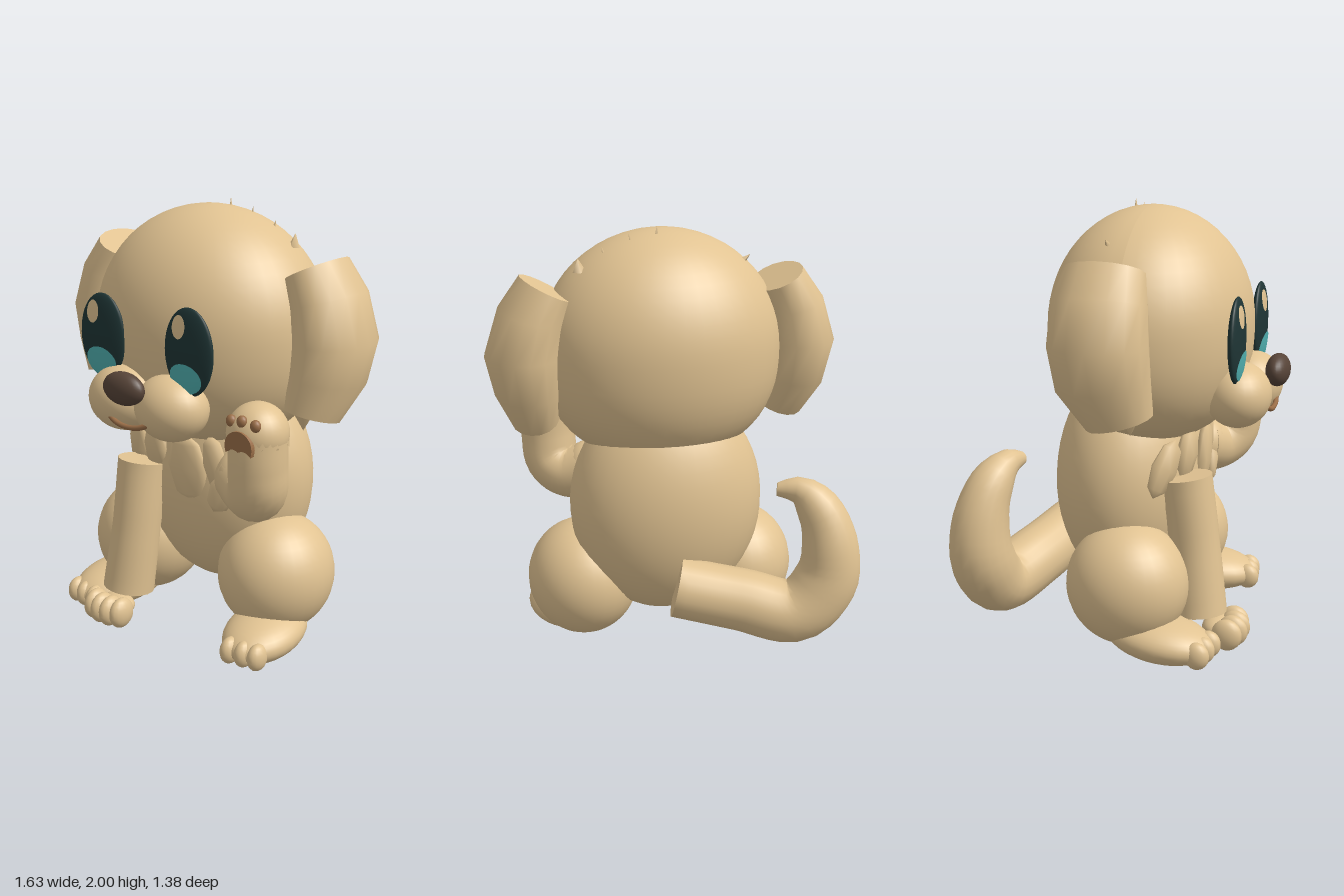
import * as THREE from 'three';
import { toCreasedNormals } from 'three/addons/utils/BufferGeometryUtils.js';

const V = (x, y, z) => new THREE.Vector3(x, y, z);
const mat = (name, color, side = THREE.FrontSide) => {
  const m = new THREE.MeshStandardMaterial({ color, side });
  m.name = name;
  return m;
};

// Skin over rings of [centre, axisA, axisB], closed flat at both ends
function loft(rings, n = 20) {
  const first = rings[0][0], last = rings[rings.length - 1][0], zero = V(0, 0, 0);
  const all = [[first, zero, zero], ...rings, [last, zero, zero]];
  const pos = [], idx = [];
  for (const [c, a, b] of all) {
    for (let j = 0; j < n; j++) {
      const t = (j / n) * Math.PI * 2;
      const p = c.clone().addScaledVector(a, Math.cos(t)).addScaledVector(b, Math.sin(t));
      pos.push(p.x, p.y, p.z);
    }
  }
  for (let i = 0; i < all.length - 1; i++) {
    for (let j = 0; j < n; j++) {
      const k = (j + 1) % n, p = i * n, q = p + n;
      if (i > 0) idx.push(p + j, p + k, q + k);
      if (i < all.length - 2) idx.push(p + j, q + k, q + j);
    }
  }
  const g = new THREE.BufferGeometry();
  g.setAttribute('position', new THREE.Float32BufferAttribute(pos, 3));
  g.setIndex(idx);
  return toCreasedNormals(g, 0.9);
}

// Round limb along a curve, radius given at evenly spaced stations
function limb(points, radii, steps = 20) {
  const curve = new THREE.CatmullRomCurve3(points);
  const f = curve.computeFrenetFrames(steps);
  const rings = [];
  for (let i = 0; i <= steps; i++) {
    const s = (i / steps) * (radii.length - 1);
    const k = Math.min(Math.floor(s), radii.length - 2);
    const r = THREE.MathUtils.lerp(radii[k], radii[k + 1], s - k);
    rings.push([curve.getPointAt(i / steps),
      f.normals[i].clone().multiplyScalar(r), f.binormals[i].clone().multiplyScalar(r)]);
  }
  return loft(rings);
}

// Unit sphere whose lower half is fuller than round
function jowlSphere() {
  const g = new THREE.SphereGeometry(1, 40, 28);
  const p = g.attributes.position;
  for (let i = 0; i < p.count; i++) {
    const y = -p.getY(i);
    if (y <= 0 || y > 0.9999) continue;
    const k = Math.pow(1 - Math.pow(y, 2.4), 1 / 2.4) / Math.sqrt(1 - y * y);
    p.setXYZ(i, p.getX(i) * k, -y, p.getZ(i) * k);
  }
  g.computeVertexNormals();
  return g;
}

export function createModel() {
  const root = new THREE.Group();
  root.name = 'sittingPuppy';
  const fur = mat('tanFur', 0xe1c392);
  const furOpen = mat('tanFurThin', 0xe1c392, THREE.DoubleSide);
  const dark = mat('darkEye', 0x1f3535);
  const teal = mat('tealIris', 0x50b0b0);
  const noseBrown = mat('noseBrown', 0x574438);
  const padBrown = mat('padBrown', 0x9a6e48);

  const add = (name, geo, m = fur) => {
    const mesh = new THREE.Mesh(geo, m);
    mesh.name = name;
    root.add(mesh);
    return mesh;
  };
  const ball = (name, c, r, m = fur, seg = 28) => {
    const mesh = add(name, new THREE.SphereGeometry(1, seg, Math.round(seg * 0.7)), m);
    mesh.position.set(...c);
    mesh.scale.set(...r);
    return mesh;
  };

  // Head and body
  const head = add('head', jowlSphere());
  head.position.set(0, 1.45, 0.05);
  head.scale.set(0.56, 0.53, 0.465);
  ball('body', [0, 0.72, -0.05], [0.455, 0.54, 0.34], fur, 36);

  // Face
  ball('nose', [0, 1.262, 0.637], [0.11, 0.073, 0.054], noseBrown);
  const smile = new THREE.CatmullRomCurve3([V(-0.115, 1.115, 0.608), V(-0.06, 1.094, 0.618),
    V(0, 1.086, 0.618), V(0.06, 1.094, 0.618), V(0.115, 1.115, 0.608)]);
  add('mouth', new THREE.TubeGeometry(smile, 24, 0.012, 8), padBrown);

  // Thin patch laid over the eyeball at offset (dx, dy)
  const E = { y: 1.43, z: 0.5, rx: 0.13, ry: 0.19, rz: 0.03 };
  const eyePatch = (name, ex, dx, dy, rx, ry, m) => {
    const g = new THREE.RingGeometry(0.001, 1, 28, 5);
    const p = g.attributes.position;
    for (let i = 0; i < p.count; i++) {
      const x = dx + p.getX(i) * rx, y = dy + p.getY(i) * ry;
      const d = Math.max(0, 1 - (x / E.rx) ** 2 - (y / E.ry) ** 2);
      p.setXYZ(i, ex + x, E.y + y, E.z + E.rz * Math.sqrt(d) + 0.005);
    }
    g.computeVertexNormals();
    add(name, g, m);
  };

  for (const s of [-1, 1]) {
    ball('muzzle', [s * 0.135, 1.168, 0.485], [0.172, 0.147, 0.15]);
    ball('eye', [s * 0.245, E.y, E.z], [E.rx, E.ry, E.rz], dark, 32);
    eyePatch('iris', s * 0.245, -s * 0.004, -0.11, 0.086, 0.066, teal);
    eyePatch('eyeHighlight', s * 0.245, -0.035, 0.108, 0.037, 0.05, fur);

    // Ear pressed to the head, bowed outward: centre, outward axis, depth axis
    const ear = [
      [[0.535, 1.745, 0], [0.11, 0.055, 0], [0, 0, 0.18]],
      [[0.6, 1.62, 0], [0.147, 0.04, 0], [0, 0, 0.207]],
      [[0.64, 1.45, 0.005], [0.174, 0, 0], [0, 0, 0.217]],
      [[0.62, 1.28, 0.02], [0.152, -0.015, 0], [0, 0.02, 0.205]],
      [[0.585, 1.125, 0.08], [0.11, -0.018, 0], [0, 0.035, 0.145]],
    ].map(([c, a, b]) => [V(s * c[0], c[1], c[2]), V(s * a[0], a[1], a[2]),
      V(...b).multiplyScalar(s)]);
    add('ear', loft(ear, 16));
    const tip = add('earTuft', new THREE.ConeGeometry(0.045, 0.08, 5));
    tip.position.set(s * 0.565, 1.1, 0.12);
    tip.rotation.x = Math.PI;

    // Haunch, hind foot and toes
    ball('haunch', [s * 0.383, 0.325, 0.05], [0.265, 0.28, 0.28], fur, 32);
    const foot = ball('hindFoot', [s * 0.445, 0.108, 0.215], [0.175, 0.1, 0.255]);
    foot.rotation.set(0.08, s * 0.16, 0);
    for (const x of [0.415, 0.485, 0.55])
      ball('hindToe', [s * x, 0.088, 0.435 - (x - 0.41) * 0.15], [0.04, 0.062, 0.057], fur, 16);
  }

  // Standing front leg with toes
  add('frontLeg', limb([V(-0.228, 0.8, 0.275), V(-0.235, 0.5, 0.32), V(-0.262, 0.17, 0.358)],
    [0.119, 0.114, 0.122], 10));
  ball('frontPaw', [-0.26, 0.11, 0.44], [0.09, 0.05, 0.07]);
  for (let i = 0; i < 4; i++)
    ball('frontToe', [-0.343 + i * 0.054, 0.108, i % 3 ? 0.515 : 0.5], [0.042, 0.073, 0.07], fur, 16);

  // Raised arm with paw and jagged fur cuff
  add('raisedArm', limb([V(0.3, 0.81, 0.2), V(0.41, 0.785, 0.265), V(0.475, 0.835, 0.322),
    V(0.488, 0.95, 0.342), V(0.49, 1.1, 0.345)], [0.135, 0.13, 0.13, 0.13, 0.13], 24));
  ball('shoulder', [0.31, 0.81, 0.205], [0.13, 0.138, 0.133]);
  ball('raisedPaw', [0.49, 1.092, 0.345], [0.136, 0.135, 0.134]);
  const cuff = new THREE.CylinderGeometry(0.134, 0.134, 0.06, 24, 1, true);
  const cp = cuff.attributes.position;
  for (let i = 0; i < cp.count; i++)
    if (cp.getY(i) < 0 && (i % 25) % 2) cp.setY(i, -0.005);
  add('furCuff', cuff, furOpen).position.set(0.49, 1.065, 0.345);

  // Paw pads
  const pad = new THREE.Shape();
  pad.moveTo(-0.065, -0.045);
  pad.bezierCurveTo(-0.085, 0.02, -0.04, 0.055, 0, 0.055);
  pad.bezierCurveTo(0.04, 0.055, 0.085, 0.02, 0.065, -0.045);
  pad.quadraticCurveTo(0.035, -0.015, 0, -0.035);
  pad.quadraticCurveTo(-0.035, -0.015, -0.065, -0.045);
  add('palmPad', new THREE.ExtrudeGeometry(pad, { depth: 0.025, bevelEnabled: false }), padBrown)
    .position.set(0.49, 1.075, 0.457);
  for (const [x, y, z] of [[-0.063, 1.158, 0.446], [0, 1.168, 0.455], [0.063, 1.158, 0.446]])
    ball('toePad', [0.49 + x, y, z], [0.024, 0.027, 0.022], padBrown, 14);

  // Tail curling round and up to a hooked point
  add('tail', limb([V(0.03, 0.41, -0.36), V(-0.25, 0.35, -0.44), V(-0.49, 0.31, -0.53),
    V(-0.62, 0.46, -0.55), V(-0.63, 0.63, -0.55), V(-0.59, 0.78, -0.52), V(-0.51, 0.87, -0.475),
    V(-0.41, 0.875, -0.44)],
    [0.14, 0.142, 0.145, 0.145, 0.145, 0.125, 0.095, 0.03], 32));

  // Chest tufts: flattened leaf shapes [x, y, z, halfWidth, halfHeight, roll]
  for (const [x, y, z, w, h, roll] of [
    [0.05, 0.82, 0.285, 0.108, 0.17, 0], [-0.16, 0.88, 0.26, 0.08, 0.13, -0.1],
    [-0.32, 0.85, 0.2, 0.08, 0.14, -0.4], [0.19, 0.86, 0.26, 0.06, 0.14, 0.1],
    [0.25, 0.75, 0.27, 0.07, 0.12, -0.5]]) {
    const tuft = add('chestTuft', new THREE.SphereGeometry(1, 8, 4));
    tuft.position.set(x, y, z);
    tuft.scale.set(w, h, 0.04);
    tuft.rotation.set(0.1, x * 1.6, roll);
  }

  // Stray hairs on the crown
  for (const [x, y, r, roll] of [[0.04, 1.972, 0.012, 0], [0.16, 1.945, 0.01, -0.2],
    [0.28, 1.895, 0.012, -0.3], [0.39, 1.845, 0.03, -0.1], [-0.37, 1.84, 0.022, 0.9]]) {
    const hair = add('crownHair', new THREE.ConeGeometry(r, 0.06, 4));
    hair.position.set(x, y, -0.04);
    hair.rotation.z = roll;
  }
  return root;
}
